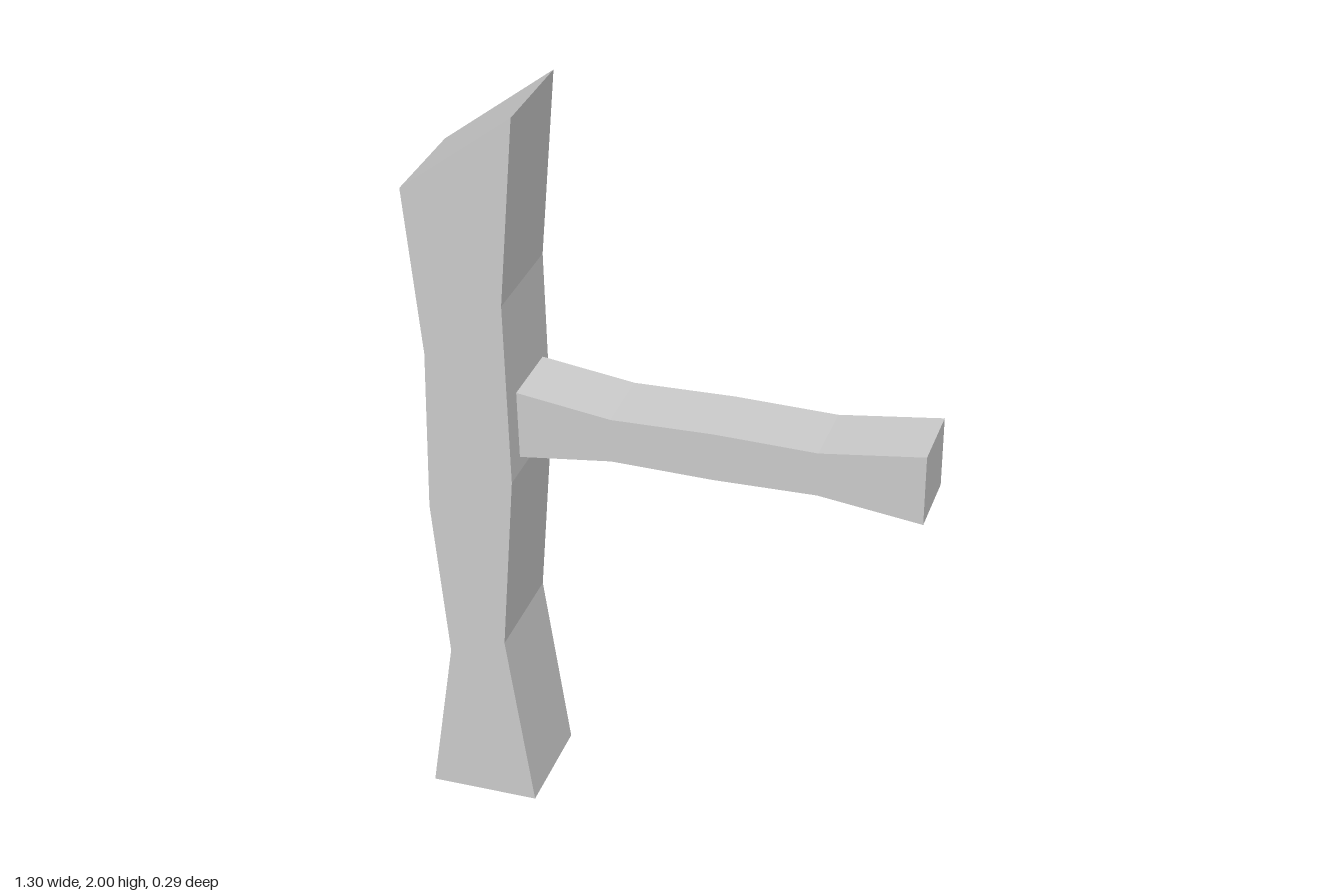
import * as THREE from 'three';

const material = new THREE.MeshStandardMaterial({ color: 0xcccccc, flatShading: true });

// Extrude a front outline between two depths
function slab(name, outline, zBack, zFront) {
  const shape = new THREE.Shape(outline.map(([x, y]) => new THREE.Vector2(x, y)));
  const geometry = new THREE.ExtrudeGeometry(shape, { depth: zFront - zBack, bevelEnabled: false });
  geometry.translate(0, 0, zBack);
  const mesh = new THREE.Mesh(geometry, material);
  mesh.name = name;
  return mesh;
}

export function createModel() {
  const group = new THREE.Group();
  group.name = 'postWithArm';

  // Upright post: pinched low down, slanted top
  group.add(slab('post', [
    [-0.65, 0], [-0.36, 0], [-0.43, 0.5], [-0.392, 1.0], [-0.402, 1.5], [-0.36, 2],
    [-0.65, 1.78], [-0.61, 1.335], [-0.62, 0.89], [-0.582, 0.445],
  ], -0.147, 0.147));

  // Side arm: slimmer in the middle, flared at both ends
  group.add(slab('arm', [
    [-0.415, 1.037], [-0.15, 1.071], [0.115, 1.066], [0.38, 1.071], [0.647, 1.037],
    [0.647, 1.228], [0.38, 1.191], [0.115, 1.197], [-0.15, 1.191], [-0.415, 1.228],
  ], -0.11, 0.083));

  return group;
}
